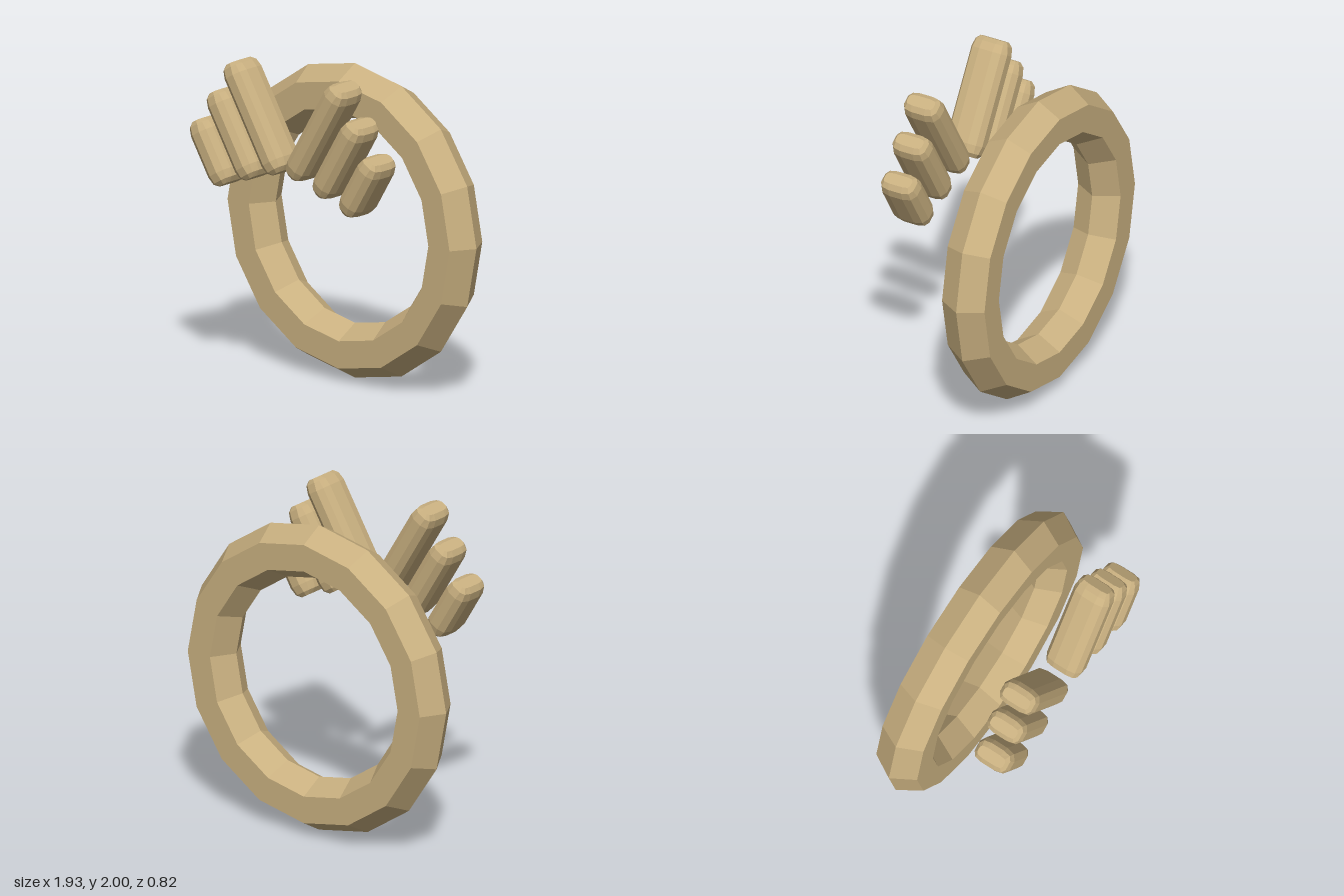
import * as THREE from 'three';

const material = new THREE.MeshStandardMaterial({ color: 0xc9b080, flatShading: true });

// Quarter outlines (x, z) of the bar, from the tip inwards
const CAP = [[0.015, 0.09], [0.03, 0.08], [0.036, 0.045]];
const SHOULDER = [[0.03, 0.11], [0.057, 0.091], [0.067, 0.045]];
const BODY = [[0.03, 0.122], [0.068, 0.097], [0.08, 0.045]];

// Mirror a quarter outline into a closed twelve-sided ring
function ring(quarter, y) {
  const back = quarter.map(([x, z]) => [x, -z]).reverse();
  const half = [...quarter, ...back];
  const other = half.map(([x, z]) => [-x, -z]);
  return [...half, ...other].map(([x, z]) => [x, y, z]);
}

// Rounded bar lofted along y
function barGeometry(h) {
  const rings = [
    ring(CAP, -h), ring(SHOULDER, -h + 0.025), ring(BODY, -h + 0.075),
    ring(BODY, h - 0.075), ring(SHOULDER, h - 0.025), ring(CAP, h),
  ];
  const n = rings[0].length;
  const positions = [...rings.flat(2), 0, -h, 0, 0, h, 0];
  const bottom = rings.length * n, top = bottom + 1, last = bottom - n;
  const index = [];
  for (let j = 0; j < n; j++) {
    const k = (j + 1) % n;
    for (let i = 0; i < rings.length - 1; i++) {
      const a = i * n + j, b = i * n + k;
      index.push(a, b, b + n, a, b + n, a + n);
    }
    index.push(bottom, k, j, top, last + j, last + k);
  }
  const geometry = new THREE.BufferGeometry();
  geometry.setAttribute('position', new THREE.Float32BufferAttribute(positions, 3));
  geometry.setIndex(index);
  geometry.computeVertexNormals();
  return geometry;
}

export function createModel() {
  const model = new THREE.Group();
  model.name = 'ringWithBars';

  // Faceted ring at the back
  const hoop = new THREE.Mesh(new THREE.TorusGeometry(0.797, 0.168, 6, 16), material);
  hoop.name = 'ring';
  hoop.position.set(0, 0.97, -0.265);
  model.add(hoop);

  // Three slanted bars on each side, floating in front: x, y, half length
  const bars = [
    ['innerBar', 0.2475, 1.6775, 0.356],
    ['middleBar', 0.42, 1.5425, 0.28],
    ['outerBar', 0.5925, 1.405, 0.207],
  ];
  for (const [name, x, y, h] of bars) {
    const geometry = barGeometry(h);
    for (const side of [1, -1]) {
      const bar = new THREE.Mesh(geometry, material);
      bar.name = name + (side > 0 ? 'Left' : 'Right');
      bar.position.set(side * x, y, 0.2875);
      bar.rotation.z = -side * 0.547;
      model.add(bar);
    }
  }
  return model;
}
